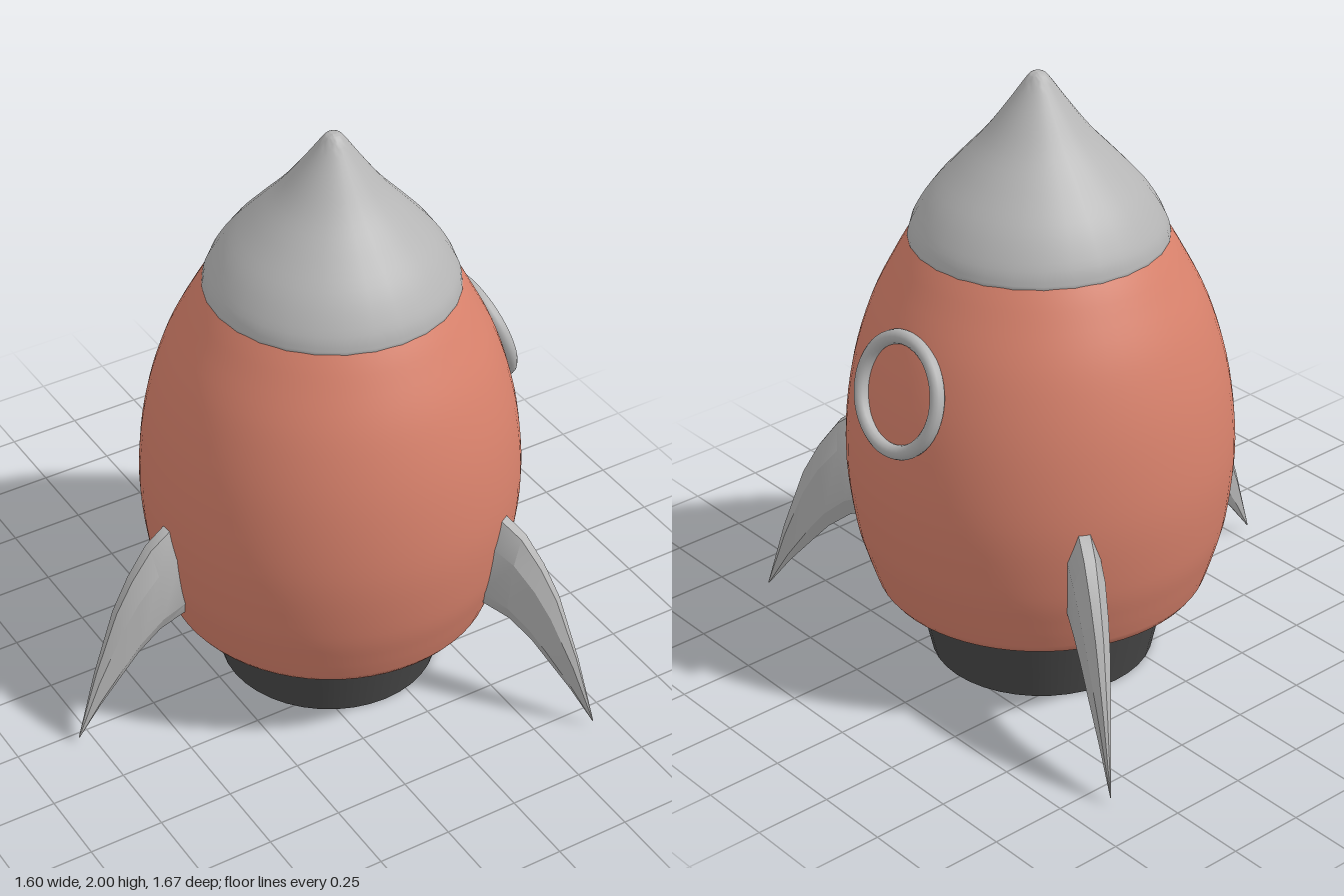
import * as THREE from 'three';
import { toCreasedNormals } from 'three/addons/utils/BufferGeometryUtils.js';

const red = new THREE.MeshStandardMaterial({ color: 0xd9826c });
red.name = 'coral paint';
const grey = new THREE.MeshStandardMaterial({ color: 0xb6b6b6 });
grey.name = 'light grey metal';
const dark = new THREE.MeshStandardMaterial({ color: 0x484848 });
dark.name = 'dark nozzle metal';

const v2 = (p) => new THREE.Vector2(p[0], p[1]);

function add(parent, name, geometry, material) {
  const mesh = new THREE.Mesh(geometry, material);
  mesh.name = name;
  parent.add(mesh);
  return mesh;
}

// Smooth curve through a few [radius, height] points
const smooth = (pts, n) => new THREE.SplineCurve(pts.map(v2)).getPoints(n);

// Fin swept from the hull to its tip: x is outward, z is thickness
function finGeometry() {
  // outer edge x, y; inner edge x, y; half thickness
  const sections = [
    [0.50, 0.765, 0.46, 0.42, 0.05],
    [0.615, 0.745, 0.56, 0.385, 0.052],
    [0.685, 0.695, 0.655, 0.355, 0.05],
    [0.755, 0.60, 0.735, 0.295, 0.043],
    [0.815, 0.49, 0.79, 0.235, 0.035],
    [0.895, 0.27, 0.88, 0.135, 0.018],
    [0.966, 0.03, 0.964, 0.026, 0.001],
  ];
  // position from outer to inner edge, share of the half thickness
  const half = [[0, 0.35], [0.25, 1], [0.8, 0.9], [1, 0.2]];
  const ring = [...half, ...half.map(([t, w]) => [t, -w]).reverse()];
  const n = ring.length;
  const positions = [];
  const index = [];
  sections.forEach(([ox, oy, ix, iy, w], i) => {
    ring.forEach(([t, k], j) => {
      positions.push(ox + (ix - ox) * t, oy + (iy - oy) * t, w * k);
      if (i === sections.length - 1) return;
      const a = i * n + j;
      const b = i * n + (j + 1) % n;
      index.push(a, b, a + n, b, b + n, a + n);
    });
  });
  const g = new THREE.BufferGeometry();
  g.setAttribute('position', new THREE.Float32BufferAttribute(positions, 3));
  g.setIndex(index);
  return toCreasedNormals(g, 0.45);
}

export function createModel() {
  const model = new THREE.Group();
  model.name = 'rocket';
  const rocket = new THREE.Group();
  rocket.name = 'rocketBody';
  rocket.position.set(0.165, 0, 0.015);
  model.add(rocket);

  // Egg-shaped hull with a rounded lower rim
  const hull = [
    v2([0, 0.27]), v2([0.47, 0.27]), v2([0.5, 0.271]), v2([0.522, 0.278]),
    ...smooth([[0.534, 0.294], [0.562, 0.38], [0.597, 0.52], [0.617, 0.75],
      [0.592, 1.0], [0.53, 1.22], [0.445, 1.395], [0.395, 1.48]], 32),
  ];
  add(rocket, 'hull', new THREE.LatheGeometry(hull, 64), red);

  // Nose cone with an S-shaped flank and small lip
  const nose = [
    v2([0.37, 1.458]), v2([0.4, 1.458]),
    ...smooth([[0.405, 1.468], [0.39, 1.52], [0.335, 1.61], [0.25, 1.707],
      [0.165, 1.8], [0.09, 1.9], [0.035, 1.978], [0.018, 1.994], [0, 2]], 32),
  ];
  add(rocket, 'noseCone', toCreasedNormals(new THREE.LatheGeometry(nose, 28), 0.7), grey);

  // Tapered engine nozzle
  const nozzle = add(rocket, 'nozzle', new THREE.CylinderGeometry(0.425, 0.362, 0.285, 40), dark);
  nozzle.position.y = 0.1475;

  // Porthole ring lying on the sloping side of the hull
  const ring = new THREE.TorusGeometry(0.176, 0.023, 12, 48);
  ring.rotateY(Math.PI / 2);
  ring.rotateZ(0.29);
  add(rocket, 'portholeRing', ring, grey).position.set(0.56, 1.1, 0);

  // Three fins spaced evenly round the hull
  const fin = finGeometry();
  for (let i = 0; i < 3; i++) {
    add(rocket, 'fin', fin, grey).rotation.y = Math.PI + 0.03 + i * Math.PI * 2 / 3;
  }
  return model;
}
